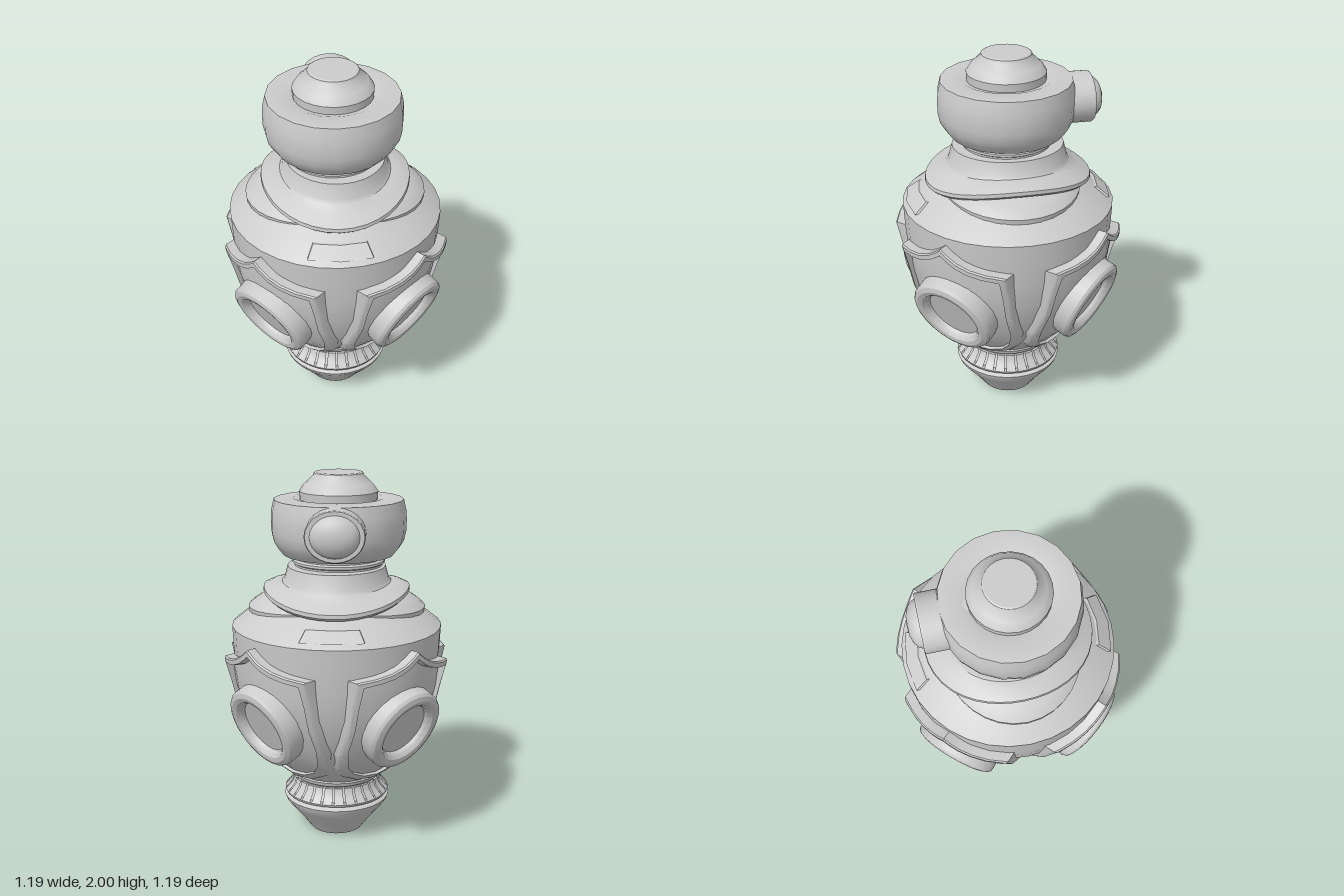
import * as THREE from 'three';
import { toCreasedNormals } from 'three/addons/utils/BufferGeometryUtils.js';

const material = new THREE.MeshStandardMaterial({ color: 0xcccccc });
const CREASE = 0.55;

// Body profile as [radius, height], also used to wrap parts onto the body
const BODY = [[0.24, 0.35], [0.29, 0.4], [0.35, 0.46], [0.425, 0.55], [0.485, 0.68], [0.53, 0.81],
  [0.55, 0.95], [0.56, 1.08], [0.565, 1.19], [0.47, 1.265], [0.3, 1.36]];

function bodyRadius(y) {
  for (let i = 1; i < BODY.length; i++) {
    const [r0, y0] = BODY[i - 1], [r1, y1] = BODY[i];
    if (y <= y1) return r0 + (r1 - r0) * (y - y0) / (y1 - y0);
  }
  return 0.3;
}

function makeMesh(name, geometry) {
  const mesh = new THREE.Mesh(toCreasedNormals(geometry, CREASE), material);
  mesh.name = name;
  return mesh;
}

function latheGeometry(profile, sides, start = 0, length = Math.PI * 2) {
  return new THREE.LatheGeometry(profile.map(([r, y]) => new THREE.Vector2(r, y)), sides, start, length);
}

const turned = (name, profile, sides = 32) => makeMesh(name, latheGeometry(profile, sides));

// Turned collar whose rim goes oval and waves up and down twice around
function wavyCollar(name, profile, oval, wave) {
  const g = latheGeometry(profile, 40);
  const p = g.attributes.position;
  for (let i = 0; i < p.count; i++) {
    const x = p.getX(i), z = p.getZ(i), r = Math.hypot(x, z) || 1;
    const c = (z * z - x * x) / (r * r);
    const k = 1 + oval * c;
    const lift = wave * c * THREE.MathUtils.clamp((r - 0.28) / 0.1, 0, 1);
    p.setXYZ(i, x * k, p.getY(i) + lift, z * k);
  }
  return makeMesh(name, g);
}

// Patch wrapped on the body: the outline (clockwise, [across, height]) shrinks
// towards its centre through rings of [scale, lift above the body]
function wrappedPatch(name, outline, centreY, rings, extraLift = () => 0) {
  const positions = [], index = [], n = outline.length;
  rings.forEach(([scale, lift], k) => {
    for (const [w0, y0] of outline) {
      const w = w0 * scale, y = centreY + (y0 - centreY) * scale;
      const r = bodyRadius(y) + lift + (lift > 0.02 ? extraLift(y0) : 0);
      positions.push(w, y, Math.sqrt(Math.max(r * r - w * w, 0)));
    }
    if (k === 0) return;
    for (let j = 0; j < n; j++) {
      const a = (k - 1) * n + j, b = (k - 1) * n + (j + 1) % n;
      index.push(a, a + n, b, b, a + n, b + n);
    }
  });
  const g = new THREE.BufferGeometry();
  g.setAttribute('position', new THREE.Float32BufferAttribute(positions, 3));
  g.setIndex(index);
  return makeMesh(name, g);
}

export function createModel() {
  const model = new THREE.Group();
  model.name = 'ornamentalVessel';

  // Foot with a shallow hole underneath
  model.add(turned('foot', [[0, 0.05], [0.095, 0.05], [0.1, 0], [0.145, 0], [0.2, 0.075], [0.25, 0.135],
    [0.285, 0.18], [0.292, 0.2], [0.27, 0.21], [0.26, 0.22], [0.285, 0.222], [0.29, 0.235], [0.265, 0.24], [0, 0.24]]));

  // Fluted waist: a core with raised tiles around it
  model.add(turned('waistCore', [[0.27, 0.23], [0.24, 0.27], [0.225, 0.315], [0.24, 0.325], [0.247, 0.345],
    [0.24, 0.36], [0, 0.36]]));
  const flutes = new THREE.Group();
  flutes.name = 'waistFlutes';
  const count = 28, step = Math.PI * 2 / count;
  const tile = [[0.25, 0.23], [0.29, 0.235], [0.265, 0.262], [0.247, 0.285], [0.24, 0.312], [0.215, 0.312]];
  for (let i = 0; i < count; i++) {
    const flute = makeMesh('flute', latheGeometry(tile, 1, i * step, step * 0.82));
    flute.material = new THREE.MeshStandardMaterial({ color: 0xcccccc, side: THREE.DoubleSide });
    flutes.add(flute);
  }
  model.add(flutes);

  // Main body
  model.add(turned('body', BODY));

  // Four shields, each with a raised frame and a round porthole
  const half = [[0, 1.15], [0.04, 1.12], [0.09, 1.09], [0.16, 1.063], [0.24, 1.045], [0.33, 1.03], [0.327, 0.9],
    [0.322, 0.75], [0.312, 0.6], [0.265, 0.49], [0.2, 0.425], [0.11, 0.385], [0, 0.37]];
  const outline = [...half, ...half.slice(1, -1).reverse().map(([w, y]) => [-w, y])];
  const frameRings = [[1, -0.03], [1, 0.028], [0.98, 0.036], [0.91, 0.036], [0.89, 0.012], [0.7, 0.012],
    [0.45, 0.012], [0.2, 0.012], [0, 0.012]];
  for (let i = 0; i < 4; i++) {
    const side = new THREE.Group();
    side.name = 'shield';
    side.rotation.y = Math.PI / 4 + i * Math.PI / 2;
    side.add(wrappedPatch('shieldFrame', outline, 0.75, frameRings, y => (y > 1 ? 0.02 : 0)));
    const porthole = turned('porthole', [[0.235, -0.11], [0.235, 0.02], [0.225, 0.035], [0.2, 0.045],
      [0.175, 0.04], [0.155, 0.02], [0.15, 0], [0, 0]], 24);
    porthole.position.set(0, 0.715, 0.512);
    porthole.rotation.x = Math.PI / 2 + 0.36;
    side.add(porthole);
    model.add(side);
  }

  // Small plates on the shoulder, front and back
  const plate = [[-0.135, 1.268], [0, 1.268], [0.135, 1.268], [0.165, 1.215], [0, 1.215], [-0.165, 1.215]];
  for (const turn of [0, Math.PI]) {
    const mesh = wrappedPatch('shoulderPlate', plate, 1.242, [[1, -0.02], [1, 0.014], [0, 0.014]]);
    mesh.rotation.y = turn;
    model.add(mesh);
  }

  // Two overlapping wavy collars
  model.add(wavyCollar('lowerCollar', [[0.3, 1.26], [0.42, 1.265], [0.425, 1.305], [0.4, 1.33],
    [0.37, 1.35], [0.3, 1.37]], -0.12, 0.015));
  model.add(wavyCollar('upperCollar', [[0.3, 1.33], [0.4, 1.335], [0.417, 1.35], [0.415, 1.37], [0.36, 1.4],
    [0.31, 1.418], [0.298, 1.435], [0.278, 1.51], [0, 1.515]], 0.06, -0.033));

  // Neck, head and cap
  const head = new THREE.Group();
  head.name = 'headGroup';
  head.position.set(-0.01, 0, 0.005);
  head.add(turned('neck', [[0.235, 1.5], [0.235, 1.52], [0.247, 1.527], [0.247, 1.54], [0.232, 1.548],
    [0.238, 1.575], [0.2, 1.58]]));
  head.add(turned('head', [[0, 1.565], [0.295, 1.568], [0.305, 1.58], [0.325, 1.605], [0.347, 1.64], [0.358, 1.69],
    [0.36, 1.75], [0.357, 1.8], [0.343, 1.86], [0.24, 1.866], [0.22, 1.858], [0, 1.858]], 20));
  head.add(turned('cap', [[0.205, 1.85], [0.208, 1.9], [0.185, 1.935], [0.178, 1.94], [0.135, 1.982],
    [0.13, 1.995], [0.122, 2], [0, 2]], 24));

  // Oval spout at the back with a domed end
  const spout = turned('spout', [[0.153, 0], [0.153, 0.235], [0.148, 0.243], [0.125, 0.243], [0.115, 0.265],
    [0.09, 0.285], [0.05, 0.299], [0, 0.303]], 24);
  spout.rotation.x = -Math.PI / 2;
  spout.scale.z = 0.86;
  spout.position.set(0, 1.73, -0.2);
  head.add(spout);
  model.add(head);

  return model;
}
